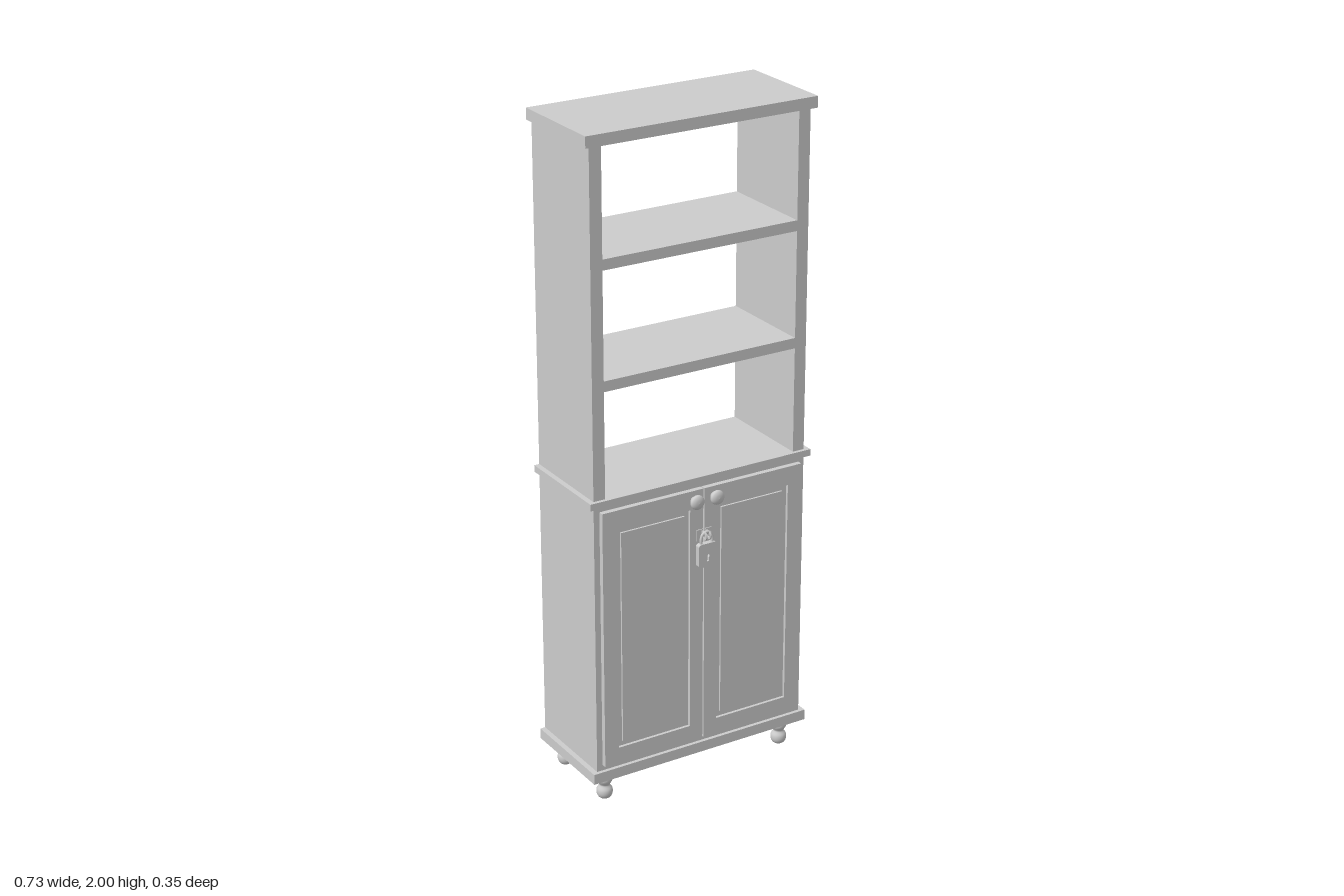
import * as THREE from 'three';

const material = new THREE.MeshStandardMaterial({ color: 0xcccccc, side: THREE.DoubleSide });

function add(parent, name, geometry, x = 0, y = 0, z = 0) {
  const mesh = new THREE.Mesh(geometry, material);
  mesh.name = name;
  mesh.position.set(x, y, z);
  parent.add(mesh);
  return mesh;
}

// Box given by its minimum and maximum on each axis
function board(parent, name, x0, x1, y0, y1, z0, z1) {
  return add(parent, name, new THREE.BoxGeometry(x1 - x0, y1 - y0, z1 - z0),
    (x0 + x1) / 2, (y0 + y1) / 2, (z0 + z1) / 2);
}

function rectangle(path, x0, x1, y0, y1) {
  path.moveTo(x0, y0);
  path.lineTo(x1, y0);
  path.lineTo(x1, y1);
  path.lineTo(x0, y1);
  path.closePath();
  return path;
}

// Smooth turned profile from a few points
function turned(points, segments = 28) {
  const curve = new THREE.SplineCurve(points.map(([r, y]) => new THREE.Vector2(r, y)));
  const profile = curve.getPoints(32);
  profile.forEach(p => { p.x = Math.max(p.x, 0); });
  return new THREE.LatheGeometry(profile, segments);
}

function createDoor(side) {
  const door = new THREE.Group();
  door.name = side > 0 ? 'leftDoor' : 'rightDoor';
  const span = (a, b) => (side > 0 ? [a, b] : [-b, -a]);

  // Frame around the recess
  const frame = rectangle(new THREE.Shape(), ...span(0.002, 0.329), 0.13, 0.925);
  frame.holes.push(rectangle(new THREE.Path(), ...span(0.045, 0.284), 0.18, 0.868));
  add(door, 'doorFrame', new THREE.ExtrudeGeometry(frame, { depth: 0.016, bevelEnabled: false }), 0, 0, 0.127);

  // Groove floor and raised centre panel
  board(door, 'grooveFloor', ...span(0.045, 0.284), 0.18, 0.868, 0.127, 0.134);
  board(door, 'centrePanel', ...span(0.061, 0.268), 0.196, 0.852, 0.134, 0.14);

  // Mushroom knob
  const knob = add(door, 'knob', turned([[0.011, 0], [0.011, 0.004], [0.017, 0.009], [0.0215, 0.017],
    [0.02, 0.024], [0.012, 0.029], [0, 0.031]]), side * 0.033, 0.897, 0.143);
  knob.rotation.x = Math.PI / 2;

  // Hasp: flat plate and a projecting eye
  board(door, 'haspPlate', ...span(0.004, 0.024), 0.768, 0.802, 0.143, 0.146);
  const eye = new THREE.Shape();
  eye.moveTo(0, -0.012);
  eye.lineTo(0.014, -0.012);
  eye.absarc(0.014, 0, 0.012, -Math.PI / 2, Math.PI / 2, false);
  eye.lineTo(0, 0.012);
  eye.closePath();
  const hole = new THREE.Path();
  hole.absarc(0.014, 0, 0.0065, 0, Math.PI * 2, true);
  eye.holes.push(hole);
  const tab = add(door, 'haspEye', new THREE.ExtrudeGeometry(eye, { depth: 0.004, bevelEnabled: false, curveSegments: 10 }),
    side * 0.007 - 0.002, 0.786, 0.145);
  tab.rotation.y = -Math.PI / 2;
  tab.position.x += 0.004;
  return door;
}

function createPadlock() {
  const lock = new THREE.Group();
  lock.name = 'padlock';
  lock.position.z = 0.158;

  // Body with rounded corners and a keyhole
  const w = 0.03, y0 = 0.692, y1 = 0.764, r = 0.008;
  const shape = new THREE.Shape();
  shape.moveTo(-w + r, y0);
  shape.absarc(w - r, y0 + r, r, -Math.PI / 2, 0, false);
  shape.absarc(w - r, y1 - r, r, 0, Math.PI / 2, false);
  shape.absarc(-w + r, y1 - r, r, Math.PI / 2, Math.PI, false);
  shape.absarc(-w + r, y0 + r, r, Math.PI, Math.PI * 1.5, false);
  const keyhole = new THREE.Path();
  keyhole.moveTo(-0.003, 0.709);
  keyhole.lineTo(0.003, 0.709);
  keyhole.lineTo(0.003, 0.721);
  keyhole.absarc(0, 0.726, 0.0058, -1.03, Math.PI + 1.03, false);
  keyhole.lineTo(-0.003, 0.709);
  shape.holes.push(keyhole);
  add(lock, 'lockBody', new THREE.ExtrudeGeometry(shape, { depth: 0.016, bevelEnabled: false, curveSegments: 8 }), 0, 0, -0.008);
  board(lock, 'keyholeBack', -0.012, 0.012, 0.702, 0.738, -0.005, 0);

  // Shackle passing through the hasp eyes
  const path = [[-0.018, 0.758], [-0.018, 0.778], [-0.013, 0.791], [0, 0.797], [0.013, 0.791], [0.018, 0.778], [0.018, 0.758]];
  const curve = new THREE.CatmullRomCurve3(path.map(([x, y]) => new THREE.Vector3(x, y, 0)));
  add(lock, 'shackle', new THREE.TubeGeometry(curve, 32, 0.0045, 10));
  return lock;
}

export function createModel() {
  const model = new THREE.Group();
  model.name = 'cabinetBookcase';
  const back = -0.178, front = 0.127, lip = 0.138;

  // Overhanging boards
  board(model, 'baseBoard', -0.363, 0.363, 0.08, 0.112, back, lip);
  board(model, 'middleBoard', -0.363, 0.363, 0.94, 0.96, back, lip);
  board(model, 'topBoard', -0.363, 0.363, 1.967, 2, back, lip);

  // Closed lower cabinet
  board(model, 'cabinetBody', -0.347, 0.347, 0.112, 0.94, back, front);

  // Open upper shelves
  for (const y of [1.276, 1.622]) board(model, 'shelf', -0.31, 0.31, y, y + 0.031, back, front);

  for (const side of [-1, 1]) {
    const [x0, x1] = side > 0 ? [0.31, 0.347] : [-0.347, -0.31];
    board(model, 'sidePanel', x0, x1, 0.96, 1.967, back, front);
    model.add(createDoor(side));

    // Turned feet
    for (const z of [0.09, -0.138]) {
      add(model, 'foot', turned([[0, 0], [0.015, 0], [0.023, 0.012], [0.023, 0.027], [0.016, 0.039],
        [0.017, 0.045], [0.023, 0.056], [0.023, 0.07], [0.018, 0.08]]), side * 0.302, 0, z);
    }
  }

  model.add(createPadlock());
  return model;
}
